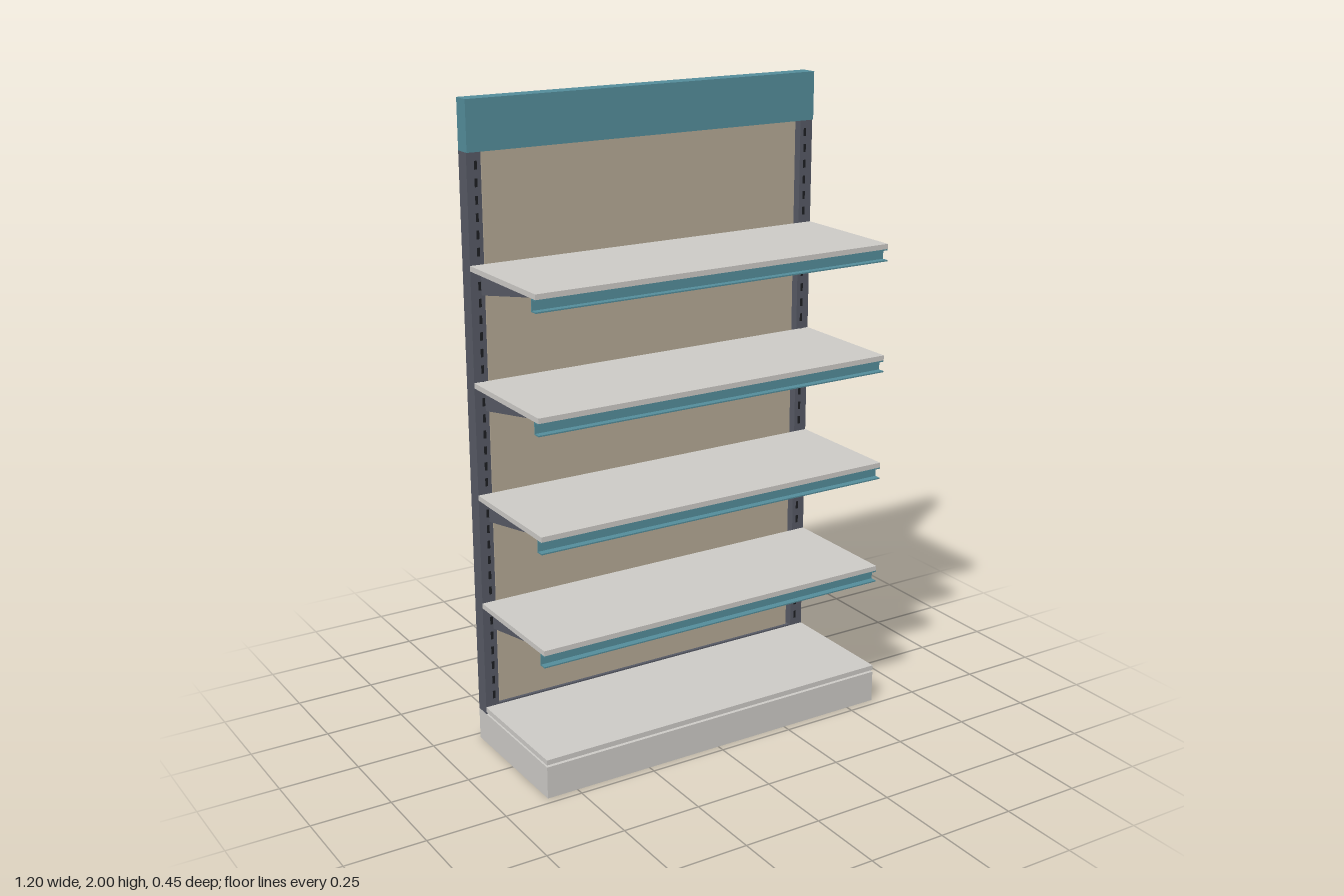
import * as THREE from 'three';

const mat = (name, color) => {
  const m = new THREE.MeshStandardMaterial({ color });
  m.name = name;
  return m;
};

export function createModel() {
  const lightGrey = mat('light grey', 0xcdcbc7);
  const teal = mat('teal', 0x548d9b);
  const tan = mat('tan', 0xb5aa96);
  const darkGrey = mat('dark grey', 0x575a65);
  const black = mat('black', 0x1c1e22);

  const model = new THREE.Group();
  model.name = 'retailShelving';

  // Box given by its minimum and maximum corners
  const box = (parent, name, material, [x0, y0, z0], [x1, y1, z1]) => {
    const mesh = new THREE.Mesh(new THREE.BoxGeometry(x1 - x0, y1 - y0, z1 - z0), material);
    mesh.position.set((x0 + x1) / 2, (y0 + y1) / 2, (z0 + z1) / 2);
    mesh.name = name;
    parent.add(mesh);
    return mesh;
  };

  // Base, back panel, bottom rail and header
  box(model, 'base', lightGrey, [-0.6, 0, -0.225], [0.6, 0.102, 0.225]);
  box(model, 'backPanel', tan, [-0.546, 0.125, -0.21], [0.546, 1.86, -0.19]);
  box(model, 'bottomRail', darkGrey, [-0.554, 0.102, -0.22], [0.554, 0.127, -0.18]);
  box(model, 'header', teal, [-0.6, 1.85, -0.225], [0.6, 2, -0.17]);

  // Uprights with a row of thin slots on the front face
  for (const side of [-1, 1]) {
    const upright = new THREE.Group();
    upright.name = side > 0 ? 'leftUpright' : 'rightUpright';
    model.add(upright);
    const x = side * 0.5775;
    box(upright, 'post', darkGrey, [x - 0.0225, 0.102, -0.225], [x + 0.0225, 1.85, -0.175]);
    for (let y = 0.15; y < 1.83; y += 0.05) {
      const sx = side * 0.572;
      box(upright, 'slot', black, [sx - 0.004, y, -0.176], [sx + 0.004, y + 0.025, -0.173]);
    }
  }

  // Tapered bracket, drawn in (z, y) below the shelf board
  const taper = new THREE.Shape([
    new THREE.Vector2(-0.175, 0),
    new THREE.Vector2(-0.175, -0.075),
    new THREE.Vector2(0.2, -0.004),
    new THREE.Vector2(0.2, 0),
  ]);
  const bracketGeo = new THREE.ExtrudeGeometry(taper, { depth: 0.012, bevelEnabled: false });
  bracketGeo.rotateY(-Math.PI / 2); // shape x becomes z

  // Price channel, open towards the front
  const channel = new THREE.Shape([
    [0.225, 0], [0.2, 0], [0.2, -0.038], [0.225, -0.038],
    [0.225, -0.034], [0.204, -0.034], [0.204, -0.004], [0.225, -0.004],
  ].map(([z, y]) => new THREE.Vector2(z, y)));
  const channelGeo = new THREE.ExtrudeGeometry(channel, { depth: 1.2, bevelEnabled: false });
  channelGeo.rotateY(-Math.PI / 2);

  // Five shelves; the lowest rests on the base and has no price channel
  for (let i = 0; i < 5; i++) {
    const shelf = new THREE.Group();
    shelf.name = `shelf${i + 1}`;
    const top = 0.125 + i * 0.35;
    const under = top - 0.016;
    model.add(shelf);
    box(shelf, 'board', lightGrey, [-0.6, under, -0.175], [0.6, top, 0.225]);
    for (const side of [-1, 1]) {
      const bracket = new THREE.Mesh(bracketGeo, darkGrey);
      bracket.name = 'bracket';
      bracket.position.set(side * 0.56 + 0.006, under, 0);
      shelf.add(bracket);
    }
    if (i > 0) {
      const strip = new THREE.Mesh(channelGeo, teal);
      strip.name = 'priceChannel';
      strip.position.set(0.6, under, 0);
      shelf.add(strip);
    }
  }
  return model;
}
